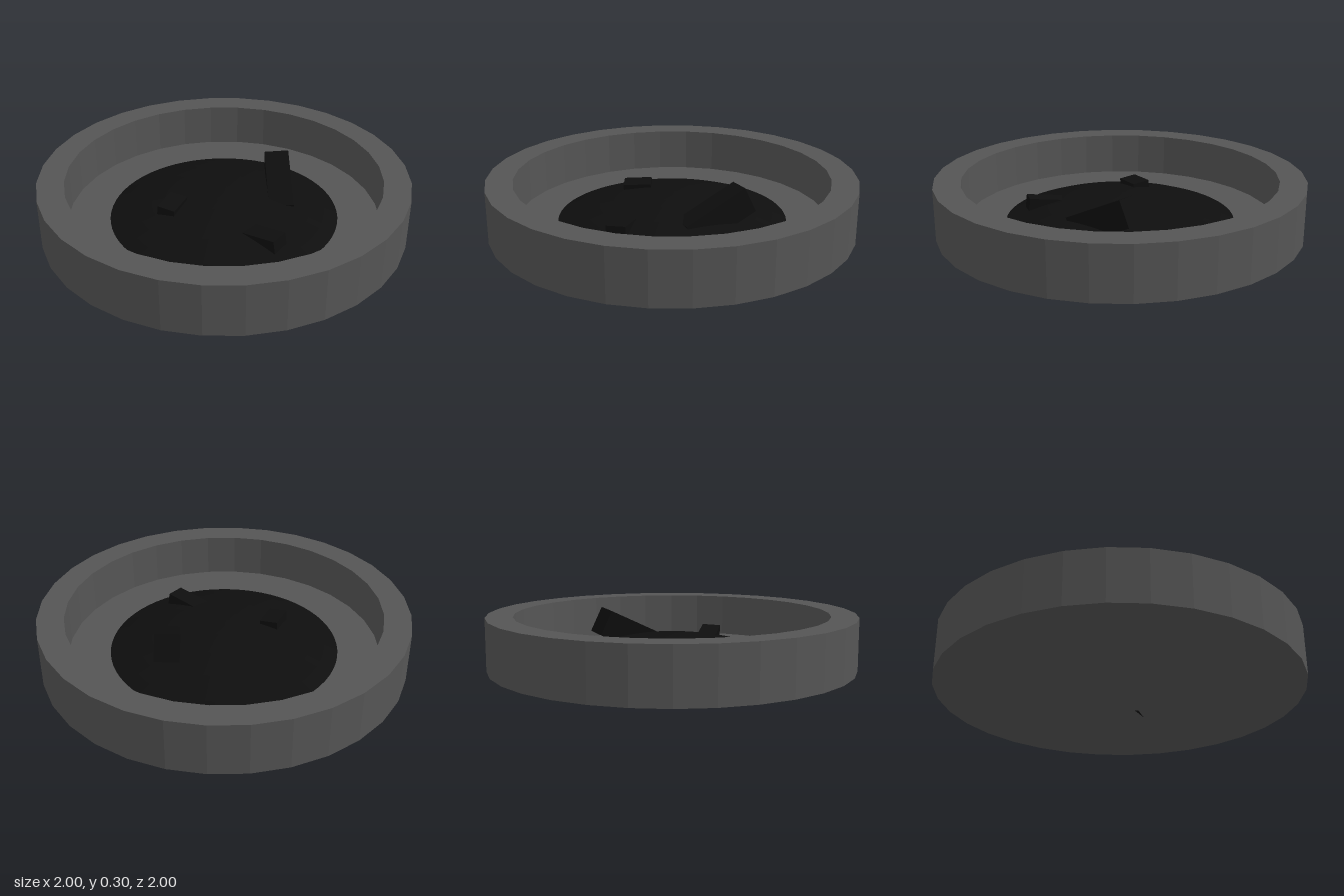
import * as THREE from 'three';

export function createModel() {
  const model = new THREE.Group();
  model.name = 'firePit';

  const stone = new THREE.MeshStandardMaterial({ color: 0x555555, flatShading: true });
  stone.name = 'grey stone';
  const char = new THREE.MeshStandardMaterial({ color: 0x0e0e0e, flatShading: true });
  char.name = 'charred black';

  const add = (name, geometry, material) => {
    const mesh = new THREE.Mesh(geometry, material);
    mesh.name = name;
    model.add(mesh);
    return mesh;
  };

  // Shallow round basin with a thick upright rim and a flat floor
  const floorY = 0.06;
  const profile = [
    [0, 0.015], [1, 0.015], [1, 0.3], [0.855, 0.3], [0.855, floorY], [0, floorY],
  ].map(([r, y]) => new THREE.Vector2(r, y));
  add('basin', new THREE.LatheGeometry(profile, 32), stone);

  // Low mound of ash: a spherical cap resting on the floor
  const moundR = 0.625, moundH = 0.12;
  const sphereR = (moundR ** 2 + moundH ** 2) / (2 * moundH);
  const cap = new THREE.SphereGeometry(
    sphereR, 64, 8, 0, Math.PI * 2, 0, Math.asin(moundR / sphereR));
  cap.translate(0, floorY + moundH - sphereR, 0);
  add('ashMound', cap, char);

  // Charred logs half buried in the ash: size, centre, [roll, yaw, pitch]
  const logs = [
    ['tiltedLog', [0.37, 0.148, 0.135], [0.29, 0.158, 0.16], [-0.07, 0.735, 0.445]],
    ['backLog', [0.155, 0.1, 0.1], [-0.252, 0.137, -0.155], [0.1, 0.26, 0.05]],
    ['frontLog', [0.2, 0.1, 0.105], [-0.147, 0.108, 0.39], [0.05, -1.55, 0.12]],
  ];
  for (const [name, size, centre, [roll, yaw, pitch]] of logs) {
    const log = add(name, new THREE.BoxGeometry(...size), char);
    log.position.set(...centre);
    log.rotation.set(roll, yaw, pitch, 'YZX');
  }

  return model;
}
